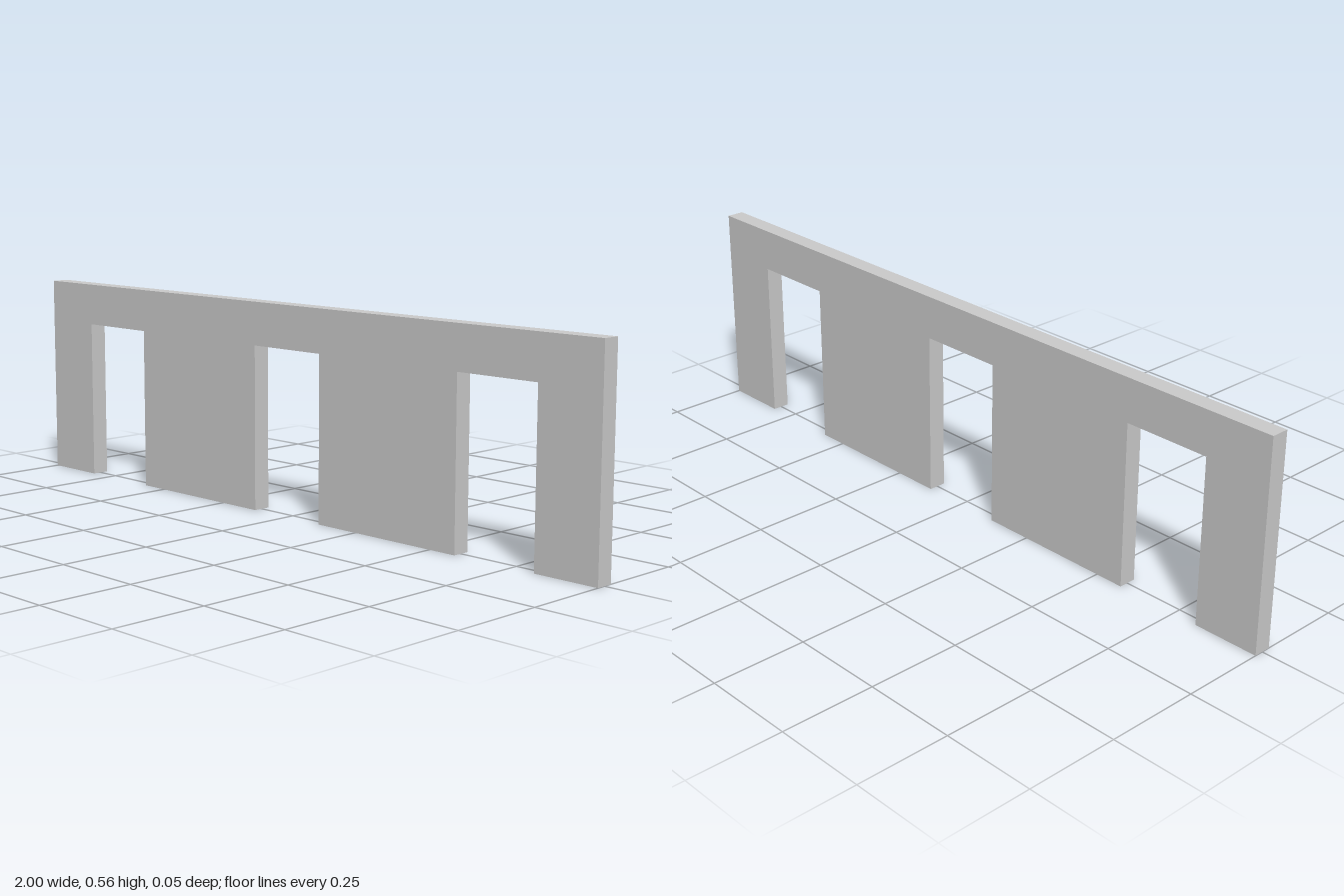
import * as THREE from 'three';

const HEIGHT = 0.56, DEPTH = 0.048;
const DOOR_HALF = 0.12, DOOR_TOP = 0.444;
const DOOR_CENTRES = [-0.7, 0, 0.7];

export function createModel() {
  const group = new THREE.Group();
  group.name = 'wallWithDoorways';

  // Wall outline, stepping up and over each doorway along the bottom edge
  const outline = new THREE.Shape();
  outline.moveTo(-1, 0);
  for (const x of DOOR_CENTRES) {
    outline.lineTo(x - DOOR_HALF, 0);
    outline.lineTo(x - DOOR_HALF, DOOR_TOP);
    outline.lineTo(x + DOOR_HALF, DOOR_TOP);
    outline.lineTo(x + DOOR_HALF, 0);
  }
  outline.lineTo(1, 0);
  outline.lineTo(1, HEIGHT);
  outline.lineTo(-1, HEIGHT);
  outline.closePath();

  // Solid slab, centred on z
  const geometry = new THREE.ExtrudeGeometry(outline, { depth: DEPTH, bevelEnabled: false });
  geometry.translate(0, 0, -DEPTH / 2);

  const wall = new THREE.Mesh(
    geometry,
    new THREE.MeshStandardMaterial({ color: 0xcccccc, flatShading: true })
  );
  wall.name = 'wall';
  group.add(wall);
  return group;
}
